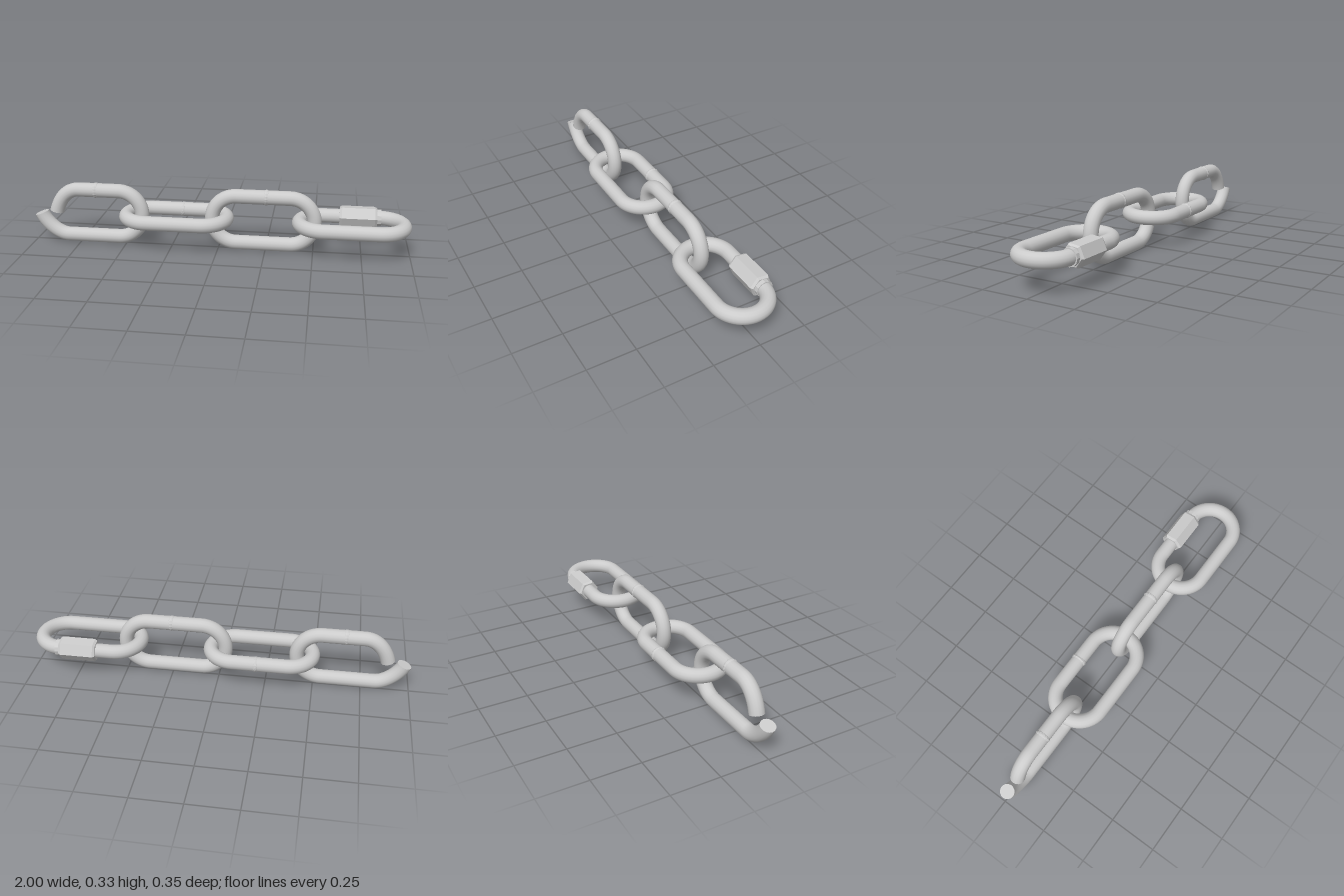
import * as THREE from 'three';

const R = 0.038;      // rod radius
const BEND = 0.127;   // centreline radius of the rounded ends
const S = 0.141;      // half length of the straight sides
const MID_Y = 0.165, MID_Z = 0.01;

const material = new THREE.MeshStandardMaterial({ color: 0xcccccc });
const flatMaterial = new THREE.MeshStandardMaterial({ color: 0xcccccc, flatShading: true });

// Lifts a flat path into space so that a tube can follow it
class FlatCurve extends THREE.Curve {
  constructor(path) {
    super();
    this.path = path;
  }
  getPoint(t, target = new THREE.Vector3()) {
    const p = this.path.getPoint(t);
    return target.set(p.x, p.y, 0);
  }
}

function addMesh(parent, name, geometry, mat = material) {
  const mesh = new THREE.Mesh(geometry, mat);
  mesh.name = name;
  parent.add(mesh);
  return mesh;
}

// Solid turned about the x axis from [radius, x] pairs
function turned(profile, sides, phi = 0) {
  const points = profile.map(([r, x]) => new THREE.Vector2(r, x));
  return new THREE.LatheGeometry(points, sides, phi).rotateZ(-Math.PI / 2);
}

function addWeld(link, x) {
  const weld = addMesh(link, 'weldBead', new THREE.SphereGeometry(0.041, 12, 8), flatMaterial);
  weld.scale.x = 0.7;
  weld.position.set(x, BEND, 0);
}

function closedLink(name, x, lying) {
  const link = new THREE.Group();
  link.name = name;
  const path = new THREE.Path();
  path.moveTo(0, -BEND);
  path.lineTo(S, -BEND);
  path.absarc(S, 0, BEND, -Math.PI / 2, Math.PI / 2);
  path.absarc(-S, 0, BEND, Math.PI / 2, Math.PI * 1.5);
  path.lineTo(0, -BEND);
  addMesh(link, 'rod', new THREE.TubeGeometry(new FlatCurve(path), 96, R, 16, true));
  link.position.set(x, MID_Y, MID_Z);
  if (lying) link.rotation.x = -Math.PI / 2;
  return link;
}

// End link, cut through and bent open
function openLink() {
  const link = new THREE.Group();
  link.name = 'openLink';
  const path = new THREE.Path();
  path.moveTo(-0.963, -0.01);
  path.bezierCurveTo(-0.945, -0.06, -0.88, -BEND, -0.815, -BEND);
  path.lineTo(-0.535, -BEND);
  path.absarc(-0.535, 0, BEND, -Math.PI / 2, Math.PI / 2);
  path.lineTo(-0.75, BEND);
  path.bezierCurveTo(-0.815, BEND, -0.86, 0.07, -0.877, 0.003);
  const curve = new FlatCurve(path);
  addMesh(link, 'rod', new THREE.TubeGeometry(curve, 96, R, 16, false));

  // Cut faces
  for (const t of [0, 1]) {
    const cap = addMesh(link, 'cutFace', new THREE.CircleGeometry(R, 16));
    const out = curve.getTangent(t).multiplyScalar(t ? 1 : -1);
    cap.quaternion.setFromUnitVectors(new THREE.Vector3(0, 0, 1), out);
    cap.position.copy(curve.getPoint(t));
  }
  addWeld(link, -0.657);
  link.position.set(0, MID_Y, MID_Z);
  return link;
}

// Link closed by a chamfered hexagonal sleeve nut
function connectorLink() {
  const link = closedLink('connectorLink', 0.692, true);
  const nut = addMesh(link, 'sleeveNut', turned(
    [[0, -0.098], [0.052, -0.098], [0.06, -0.086], [0.06, 0.086], [0.052, 0.098], [0, 0.098]],
    6, THREE.MathUtils.degToRad(23)), flatMaterial);
  nut.position.set(0.038, BEND, 0);
  const collar = addMesh(link, 'nutCollar', turned(
    [[0, 0], [0.044, 0], [0.044, 0.022], [0, 0.022]], 12), flatMaterial);
  collar.position.set(0.135, BEND, 0);
  return link;
}

export function createModel() {
  const chain = new THREE.Group();
  chain.name = 'chain';
  const lyingLink = closedLink('lyingLink', -0.224, true);
  addWeld(lyingLink, 0.017);
  const standingLink = closedLink('standingLink', 0.235, false);
  addWeld(standingLink, 0.017);
  chain.add(openLink(), lyingLink, standingLink, connectorLink());
  return chain;
}
